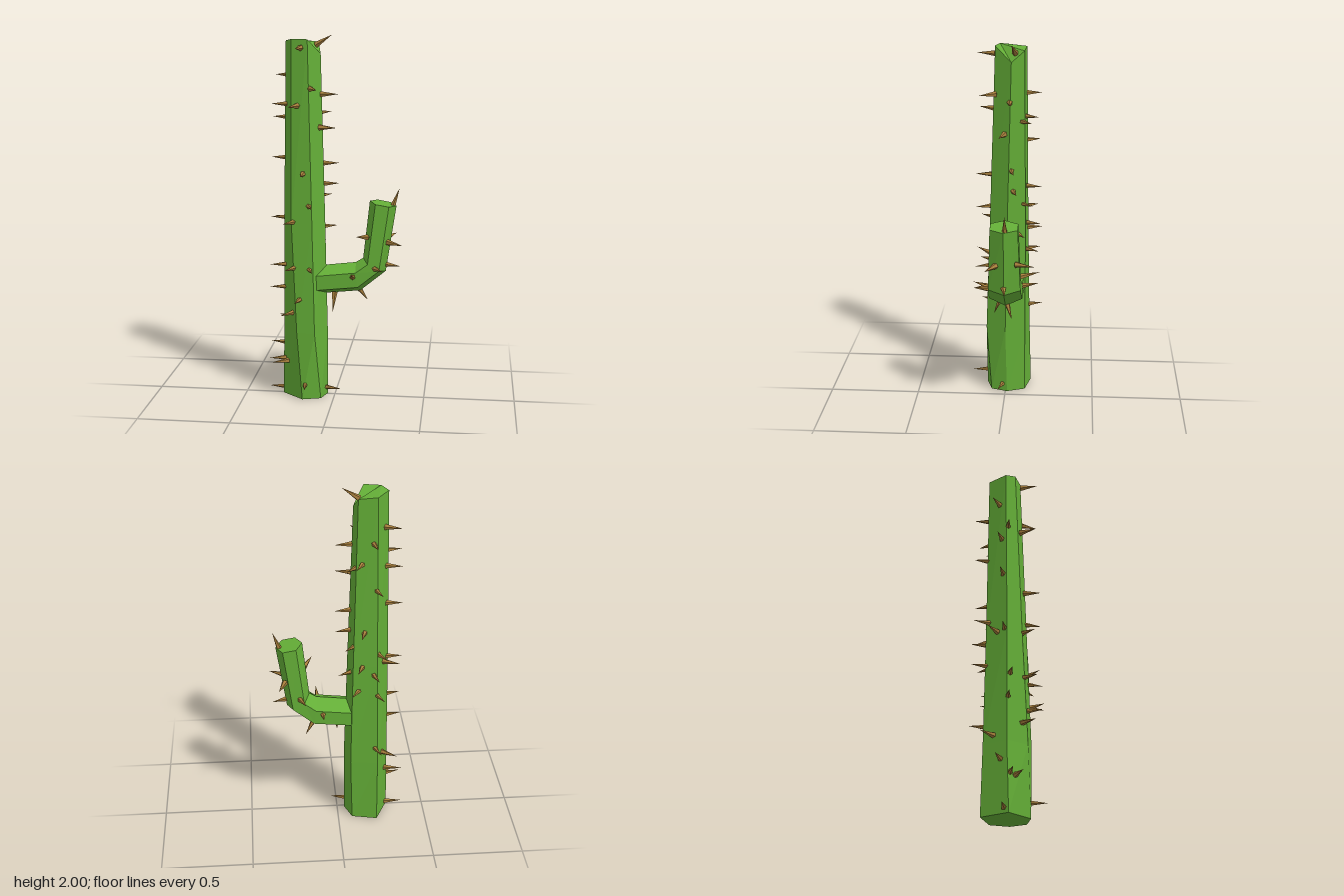
import * as THREE from 'three';

const green = new THREE.MeshStandardMaterial({ color: 0x64ae37, flatShading: true });
green.name = 'cactus green';
const brown = new THREE.MeshStandardMaterial({ color: 0xa67d3b, flatShading: true });
brown.name = 'spine brown';

// Skin through cross-section rings (equal point counts), closed at both ends
function loft(name, rings) {
  const n = rings[0].length, pos = [], index = [];
  rings.forEach((r) => r.forEach((p) => pos.push(...p)));
  for (let j = 0; j < rings.length - 1; j++) {
    for (let i = 0; i < n; i++) {
      const a = j * n + i, b = j * n + (i + 1) % n;
      index.push(a, b, b + n, a, b + n, a + n);
    }
  }
  const top = (rings.length - 1) * n;
  for (let i = 1; i < n - 1; i++) {
    index.push(0, i + 1, i, top, top + i, top + i + 1);
  }
  const indexed = new THREE.BufferGeometry();
  indexed.setAttribute('position', new THREE.Float32BufferAttribute(pos, 3));
  indexed.setIndex(index);
  const geo = indexed.toNonIndexed();
  geo.computeVertexNormals();
  const mesh = new THREE.Mesh(geo, green);
  mesh.name = name;
  return mesh;
}

// Five-sided spine from base to tip
const spineGeo = new THREE.ConeGeometry(0.017, 1, 5);
function spine(name, base, tip) {
  const a = new THREE.Vector3(...base), b = new THREE.Vector3(...tip);
  const dir = b.clone().sub(a);
  const mesh = new THREE.Mesh(spineGeo, brown);
  mesh.name = name;
  mesh.scale.y = dir.length();
  mesh.position.copy(a).add(b).multiplyScalar(0.5);
  mesh.quaternion.setFromUnitVectors(new THREE.Vector3(0, 1, 0), dir.normalize());
  return mesh;
}

export function createModel() {
  const model = new THREE.Group();
  model.name = 'cactus';

  // Irregular six-sided trunk, slightly twisted and chipped at the top
  model.add(loft('trunk', [
    [[-0.17, 0, 0.11], [-0.07, 0, 0.08], [-0.04, 0, -0.01], [-0.08, 0, -0.11], [-0.22, 0, -0.14], [-0.29, 0, 0.01]],
    [[-0.20, 0.38, 0.10], [-0.10, 0.38, 0.11], [-0.04, 0.38, 0], [-0.07, 0.38, -0.11], [-0.22, 0.38, -0.13], [-0.285, 0.38, 0]],
    [[-0.23, 1.0, 0.075], [-0.115, 1.0, 0.09], [-0.055, 1.0, -0.01], [-0.08, 1.0, -0.11], [-0.21, 1.0, -0.12], [-0.28, 1.0, 0]],
    [[-0.23, 1.98, 0.04], [-0.14, 1.98, 0.06], [-0.08, 1.9, -0.03], [-0.1, 1.96, -0.1], [-0.2, 1.97, -0.11], [-0.265, 1.97, -0.01]],
  ]));

  // Bent arm: each hexagon spans from the inner to the outer side of the bend
  const armRing = ([ix, iy, ox, oy, r]) => Array.from({ length: 6 }, (_, i) => {
    const a = i * Math.PI / 3, t = (1 - Math.cos(a)) / 2;
    return [ix + (ox - ix) * t, iy + (oy - iy) * t, -0.013 + r * Math.sin(a)];
  });
  model.add(loft('arm', [
    [-0.1, 0.74, -0.1, 0.58, 0.105],
    [0.115, 0.765, 0.14, 0.605, 0.105],
    [0.155, 0.79, 0.28, 0.72, 0.1],
    [0.19, 1.11, 0.335, 1.085, 0.085],
  ].map(armRing)));

  // Trunk spines: angle from the right side toward the front (degrees), height
  const spines = new THREE.Group();
  spines.name = 'spines';
  [
    [98, 1.935], [62, 1.72], [112, 1.63], [90, 1.265], [72, 1.09], [122, 1.0],
    [118, 0.745], [72, 0.74], [100, 0.57], [125, 0.49], [150, 0.2], [85, 0.085],
    [180, 0.03], [165, 0.21], [190, 0.285], [215, 0.42], [170, 0.62], [165, 0.75],
    [180, 1.01], [205, 1.0], [185, 1.34], [190, 1.56], [170, 1.635], [200, 1.785],
    [15, 0.045], [-30, 0.95], [-45, 1.12], [-15, 1.195], [-10, 1.31], [15, 1.51],
    [-5, 1.685], [-45, 1.58], [-100, 1.72], [-65, 1.605], [-110, 1.455], [-75, 1.21],
    [-120, 1.07], [-70, 1.0], [-105, 0.95], [-60, 0.85], [-115, 0.82], [-110, 0.48],
  ].forEach(([deg, y]) => {
    const a = deg * Math.PI / 180, inner = 0.095 - 0.008 * y, outer = 0.21 - 0.018 * y;
    const at = (r, h) => [-0.165 + r * Math.cos(a), h, -0.015 + r * Math.sin(a)];
    spines.add(spine('trunkSpine', at(inner, y), at(outer, y)));
  });
  spines.add(spine('topSpine', [-0.11, 1.945, -0.05], [-0.02, 2.0, -0.035]));

  // Arm spines: base, tip
  [
    [[0.31, 1.07, -0.02], [0.35, 1.18, -0.02]],
    [[0.29, 0.89, 0.03], [0.375, 0.885, 0.085]],
    [[0.27, 0.76, -0.01], [0.36, 0.745, -0.02]],
    [[0.18, 0.92, 0.05], [0.13, 0.94, 0.14]],
    [[0.22, 0.75, 0.06], [0.27, 0.755, 0.15]],
    [[0.105, 0.7, 0.07], [0.11, 0.73, 0.165]],
    [[0.13, 0.62, -0.02], [0.18, 0.54, -0.05]],
    [[0, 0.6, 0.02], [-0.005, 0.5, 0.06]],
    [[0.085, 0.7, -0.09], [0.085, 0.72, -0.19]],
    [[0.21, 0.8, -0.09], [0.18, 0.82, -0.2]],
    [[0.29, 0.9, -0.075], [0.325, 0.9, -0.175]],
  ].forEach(([base, tip]) => spines.add(spine('armSpine', base, tip)));
  model.add(spines);

  return model;
}
